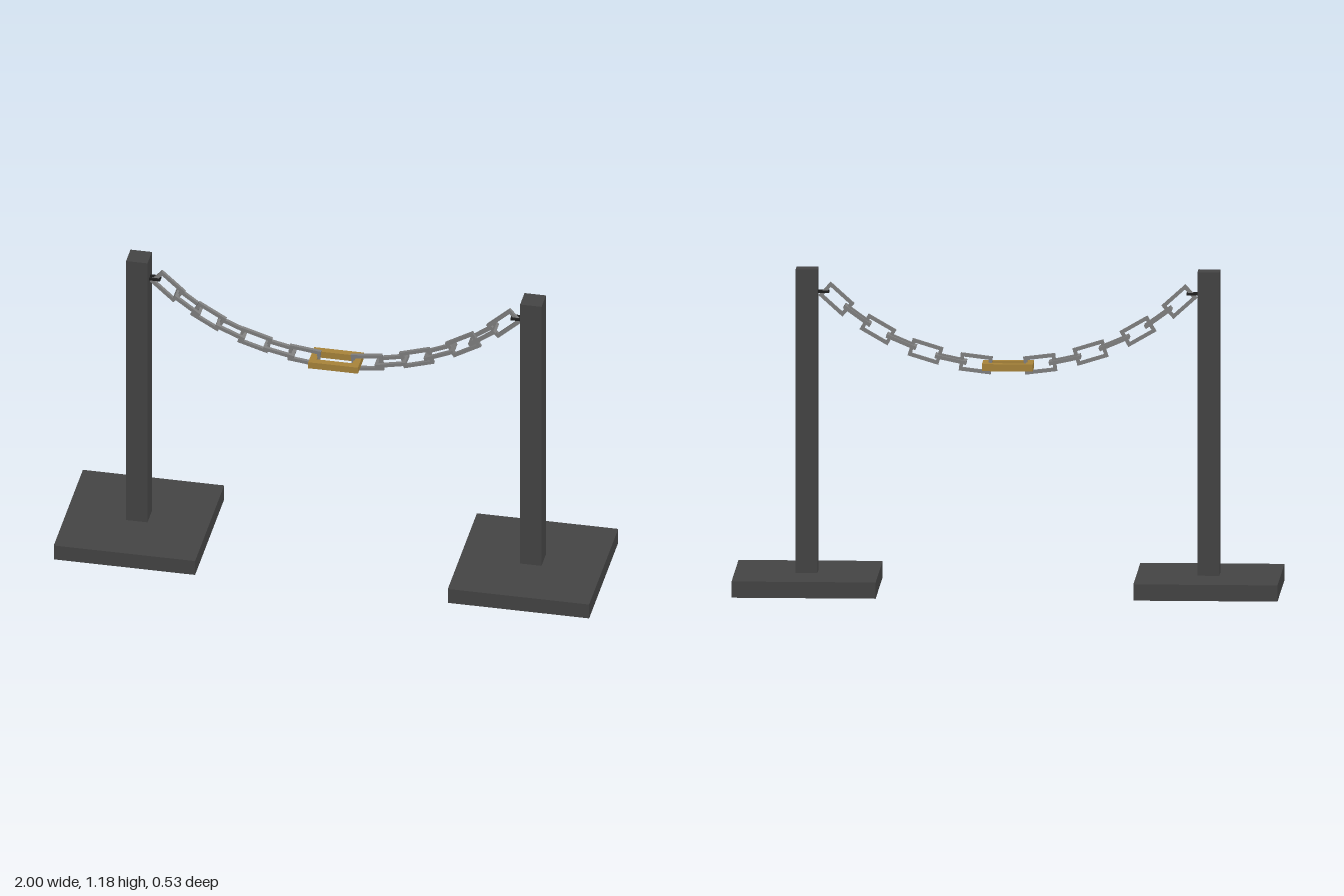
import * as THREE from 'three';
import { mergeGeometries } from 'three/addons/utils/BufferGeometryUtils.js';

const mat = (name, color) => new THREE.MeshStandardMaterial({ name, color });

// Rectangular link lying in the local xy plane, made of four square bars
function linkGeometry(length, width, bar) {
  const parts = [];
  for (const s of [-1, 1]) {
    parts.push(new THREE.BoxGeometry(length, bar, bar).translate(0, s * (width - bar) / 2, 0));
    parts.push(new THREE.BoxGeometry(bar, width - 2 * bar, bar).translate(s * (length - bar) / 2, 0, 0));
  }
  return mergeGeometries(parts);
}

export function createModel() {
  const model = new THREE.Group();
  const iron = mat('darkIron', 0x444444);
  const steel = mat('chainSteel', 0x808080);
  const brass = mat('brass', 0xa8843a);
  const black = mat('blackHook', 0x1e1e1e);

  const add = (name, geometry, material, x, y, tilt = 0, flat = false) => {
    const mesh = new THREE.Mesh(geometry, material);
    mesh.name = name;
    mesh.position.set(x, y, 0);
    mesh.rotation.order = 'ZXY';
    mesh.rotation.set(flat ? Math.PI / 2 : 0, 0, THREE.MathUtils.degToRad(tilt));
    model.add(mesh);
  };

  const baseGeo = new THREE.BoxGeometry(0.528, 0.06, 0.528);
  const postGeo = new THREE.BoxGeometry(0.08, 1.122, 0.08);
  const hookGeo = linkGeometry(0.075, 0.03, 0.008);
  const linkGeo = linkGeometry(0.118, 0.066, 0.013);

  // Links from the post down to the middle: x, y, tilt; upright and flat alternate
  const links = [
    [0.628, 1.068, 42], [0.551, 1.01, 36], [0.476, 0.957, 30], [0.39, 0.915, 23],
    [0.302, 0.877, 17], [0.209, 0.851, 12], [0.118, 0.834, 7],
  ];

  for (const side of [-1, 1]) {
    const label = side > 0 ? 'left' : 'right';
    add(label + 'Base', baseGeo, iron, side * 0.736, 0.03);
    add(label + 'Post', postGeo, iron, side * 0.736, 0.621);
    add(label + 'Hook', hookGeo, black, side * 0.692, 1.097, 0, true);
    links.forEach(([x, y, tilt], i) =>
      add(`${label}ChainLink${i + 1}`, linkGeo, steel, side * x, y, side * tilt, i % 2 === 1));
  }

  // Large brass link at the lowest point
  add('centreLink', linkGeometry(0.186, 0.106, 0.026), brass, 0, 0.826, 0, true);
  return model;
}
